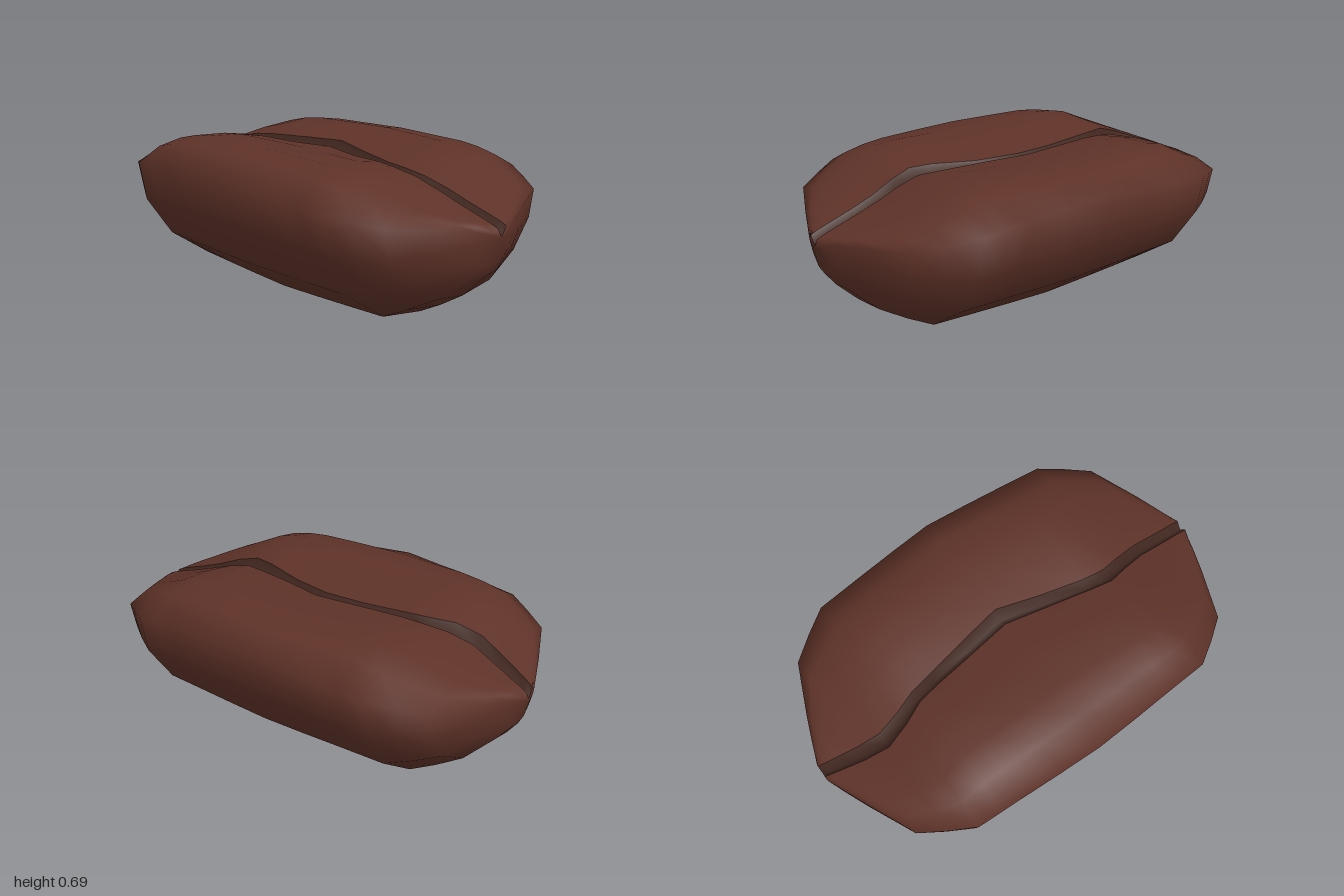
import * as THREE from 'three';

// Cross-sections along the bean: [|z|, half width, bottom y, rim y, crest y, dip at the middle]
const STATIONS = [
  [0, 0.64, 0.005, 0.63, 0.697, 0.05],
  [0.2, 0.63, 0.012, 0.615, 0.697, 0.05],
  [0.4, 0.617, 0.02, 0.6, 0.697, 0.05],
  [0.5, 0.611, 0.025, 0.59, 0.687, 0.045],
  [0.6, 0.605, 0.03, 0.58, 0.663, 0.04],
  [0.71, 0.54, 0.09, 0.555, 0.615, 0.03],
  [0.82, 0.465, 0.16, 0.53, 0.568, 0.02],
  [0.92, 0.24, 0.26, 0.505, 0.527, 0.01],
  [0.965, 0.13, 0.32, 0.49, 0.508, 0.005],
  [1, 0.042, 0.445, 0.47, 0.492, 0],
];
// Rounded belly, from rim to keel: [share of half width, share of rim height]
const BELLY = [[1, 1], [0.945, 0.67], [0.73, 0.33], [0.39, 0.07], [0, 0]];

// Wandering centre line of the crease: [z, x]
const CREASE = [[-1, 0], [-0.83, -0.05], [-0.68, -0.08], [-0.5, -0.01], [-0.3, 0.025],
  [0, 0.07], [0.2, 0.02], [0.35, -0.02], [0.5, -0.045], [0.7, -0.01], [1, 0]];

function creaseX(z) {
  const i = Math.max(1, CREASE.findIndex((p) => p[0] >= z));
  const [a, b] = [CREASE[i - 1], CREASE[i]];
  return THREE.MathUtils.lerp(a[1], b[1], (z - a[0]) / (b[0] - a[0]));
}

// One cross-section: the outer skin from lip to lip, and the groove between the lips
function section([az, hw, bottom, rim, crest, dip], side) {
  const z = az * side;
  const gx = creaseX(z);
  const lip = 0.028 + 0.01 * Math.min(1, Math.abs(gx) / 0.07);
  const topY = (x) => {
    const u = Math.min(1, Math.abs(x) / hw);
    if (u < 0.6) return crest - dip * (1 - u / 0.6) ** 2;
    return crest - (crest - rim) * ((u - 0.6) / 0.4) ** 2;
  };
  const half = (s) => {
    const from = gx + s * lip;
    const top = [0, 0.25, 0.55, 0.78].map((t) => {
      const x = THREE.MathUtils.lerp(from, s * hw, t);
      return [x, topY(x), z];
    });
    return top.concat(BELLY.map(([u, v]) => [s * u * hw, bottom + v * (rim - bottom), z]));
  };
  const right = half(1);
  const left = half(-1);
  const skin = right.concat(left.slice(0, -1).reverse());
  const floor = [gx, Math.min(left[0][1], right[0][1]) - 0.04, z];
  return { skin, groove: [left[0], floor, right[0]], floor };
}

// Joins rows of points into a smooth surface; tips close both ends
function loft(rows, tips = []) {
  const n = rows[0].length;
  const last = rows.length - 1;
  const index = [];
  for (let i = 0; i < last; i++) {
    for (let j = 0; j < n - 1; j++) {
      const a = i * n + j;
      index.push(a, a + n, a + 1, a + n, a + n + 1, a + 1);
    }
  }
  if (tips.length) {
    const c = rows.length * n;
    for (let j = 0; j < n - 1; j++) {
      index.push(c, j, j + 1, c + 1, last * n + j + 1, last * n + j);
    }
  }
  const geo = new THREE.BufferGeometry();
  geo.setAttribute('position', new THREE.Float32BufferAttribute([...rows.flat(), ...tips].flat(), 3));
  geo.setIndex(index);
  geo.computeVertexNormals();
  return geo;
}

export function createModel() {
  const group = new THREE.Group();
  group.name = 'coffeeBean';

  const sections = [
    ...STATIONS.slice(1).reverse().map((s) => section(s, -1)),
    ...STATIONS.map((s) => section(s, 1)),
  ];

  // Outer skin of the bean
  const tips = [sections[0].floor, sections[sections.length - 1].floor];
  const body = new THREE.Mesh(
    loft(sections.map((s) => s.skin), tips),
    new THREE.MeshStandardMaterial({ color: 0x5e3228 }),
  );
  body.name = 'body';

  // Darker crease along the top
  const crease = new THREE.Mesh(
    loft(sections.map((s) => s.groove)),
    new THREE.MeshStandardMaterial({ color: 0x40261f }),
  );
  crease.name = 'crease';

  group.add(body, crease);
  return group;
}
